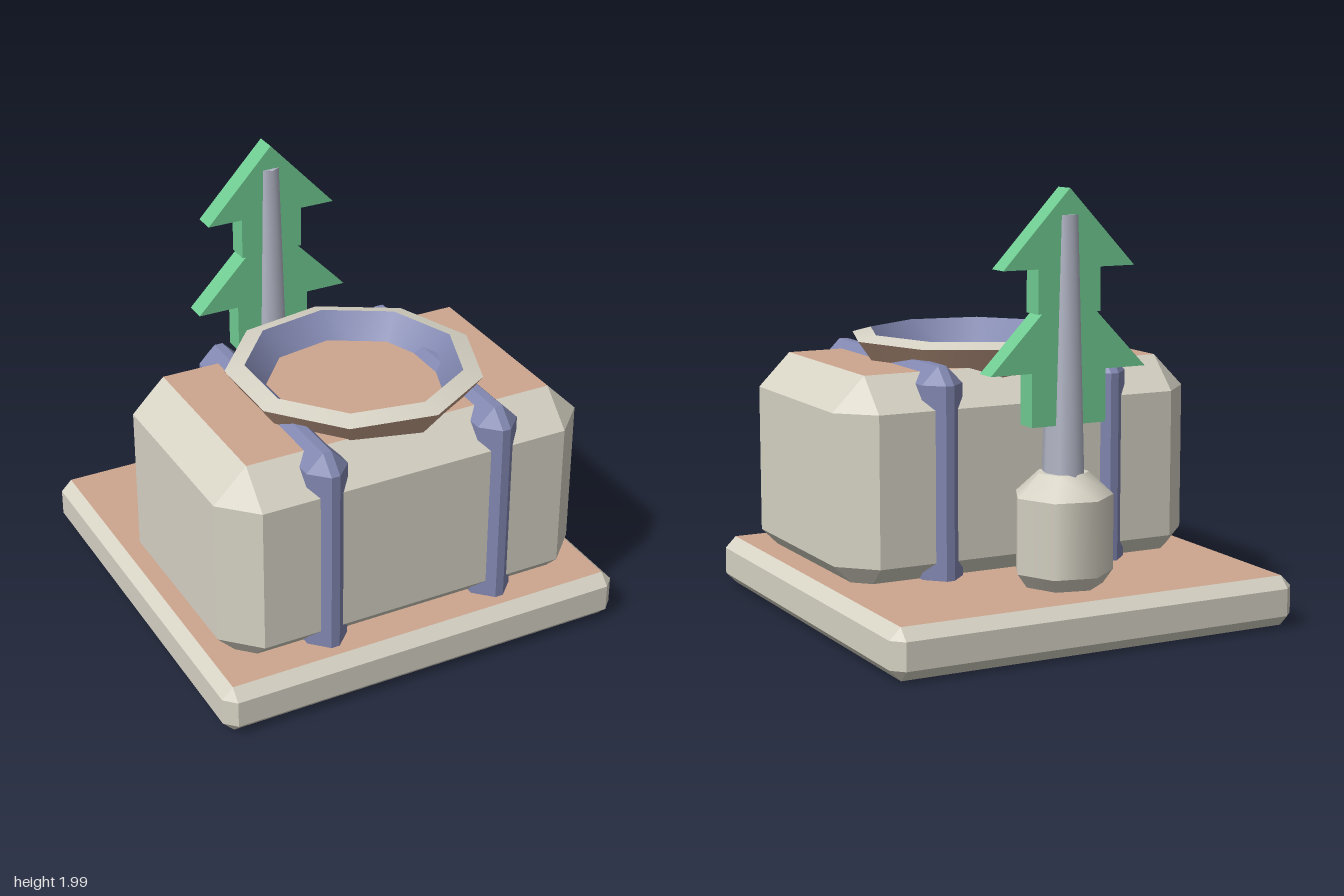
import * as THREE from 'three';
import { ConvexGeometry } from 'three/addons/geometries/ConvexGeometry.js';
import { mergeGeometries } from 'three/addons/utils/BufferGeometryUtils.js';

const mat = (name, color, side = THREE.FrontSide) => {
  const m = new THREE.MeshStandardMaterial({ color, side });
  m.name = name;
  return m;
};

function mesh(name, geometry, material) {
  const m = new THREE.Mesh(geometry, material);
  m.name = name;
  return m;
}

// Box with every edge cut at 45 degrees; group 1 holds the flat top and bottom.
function chamferBox(w, h, d, c) {
  const half = [w / 2, h / 2, d / 2];
  const points = [];
  for (const sx of [-1, 1]) for (const sy of [-1, 1]) for (const sz of [-1, 1])
    for (let axis = 0; axis < 3; axis++) {
      const p = [sx, sy, sz].map((s, i) => s * (half[i] - (i === axis ? 0 : c)));
      points.push(new THREE.Vector3(...p));
    }
  const g = new ConvexGeometry(points);
  const n = g.attributes.normal;
  for (let i = 0; i < n.count; i += 3) g.addGroup(i, 3, Math.abs(n.getY(i)) > 0.99 ? 1 : 0);
  return g;
}

// Lathe with a crisp edge at each profile point and one corner towards +x.
function facetLathe(profile, sides) {
  const bands = [];
  for (let i = 0; i < profile.length - 1; i++) {
    const pair = [profile[i], profile[i + 1]].map(([r, y]) => new THREE.Vector2(r, y));
    bands.push(new THREE.LatheGeometry(pair, sides, Math.PI / 2));
  }
  return mergeGeometries(bands);
}

export function createModel() {
  const cream = mat('cream', 0xd6d2c4);
  const clay = mat('clay', 0xcda58e);
  const clayOpen = mat('clay', 0xcda58e);
  const blue = mat('slate blue', 0x8187b0);
  const grey = mat('pale grey', 0xb2b5c5);
  const green = mat('leaf green', 0x70cb92);
  const model = new THREE.Group();
  model.name = 'model';

  // Ground slab
  const base = mesh('base', chamferBox(2, 0.23, 2, 0.052), [cream, clay]);
  base.position.y = 0.115;
  model.add(base);

  // Main block, sunk slightly into the slab
  const body = mesh('building', chamferBox(1.81, 1.0, 1.18, 0.155), [cream, clay]);
  body.position.set(0, 0.655, 0.27);
  model.add(body);

  // Bands wrapped around the block
  for (const side of [-1, 1]) {
    const band = mesh(side > 0 ? 'leftBand' : 'rightBand', chamferBox(0.2, 1.07, 1.25, 0.08), [blue, blue]);
    band.position.set(side * 0.422, 0.655, 0.27);
    model.add(band);
  }

  // Flared nine-sided roof ring: outside, rim and inside
  const ring = new THREE.Group();
  ring.name = 'roofRing';
  ring.position.z = 0.265;
  ring.add(
    mesh('ringOutside', facetLathe([[0.407, 1.0], [0.585, 1.245]], 9), clayOpen),
    mesh('ringRim', facetLathe([[0.585, 1.245], [0.495, 1.27]], 9), cream),
    mesh('ringInside', facetLathe([[0.495, 1.27], [0.345, 1.08]], 9), blue),
  );
  model.add(ring);

  // Tree: seven-sided pot, tapered trunk and flat foliage
  const tree = new THREE.Group();
  tree.name = 'tree';
  tree.position.z = -0.618;
  tree.add(mesh('pot', facetLathe(
    [[0, 0.232], [0.18, 0.232], [0.225, 0.295], [0.225, 0.635], [0.115, 0.737], [0, 0.737]], 7), cream));

  const trunk = mesh('trunk', facetLathe([[0.115, 0.72], [0.075, 1.87], [0, 1.87]], 8), grey);
  trunk.scale.x = 0.76;
  tree.add(trunk);

  // Right half of the two stacked arrow shapes, mirrored to close the outline
  const edge = [[0.325, 1.64], [0.155, 1.64], [0.155, 1.445], [0.137, 1.445],
    [0.385, 1.19], [0.184, 1.19], [0.184, 0.953]];
  const outline = [[0, 1.985], ...edge.map(([x, y]) => [-x, y]), ...edge.slice().reverse()];
  const leafShape = new THREE.Shape(outline.map(([x, y]) => new THREE.Vector2(x, y)));
  const leaves = new THREE.ExtrudeGeometry(leafShape, { depth: 0.104, bevelEnabled: false });
  leaves.translate(0, 0, -0.052);
  tree.add(mesh('foliage', leaves, green));
  model.add(tree);

  return model;
}
